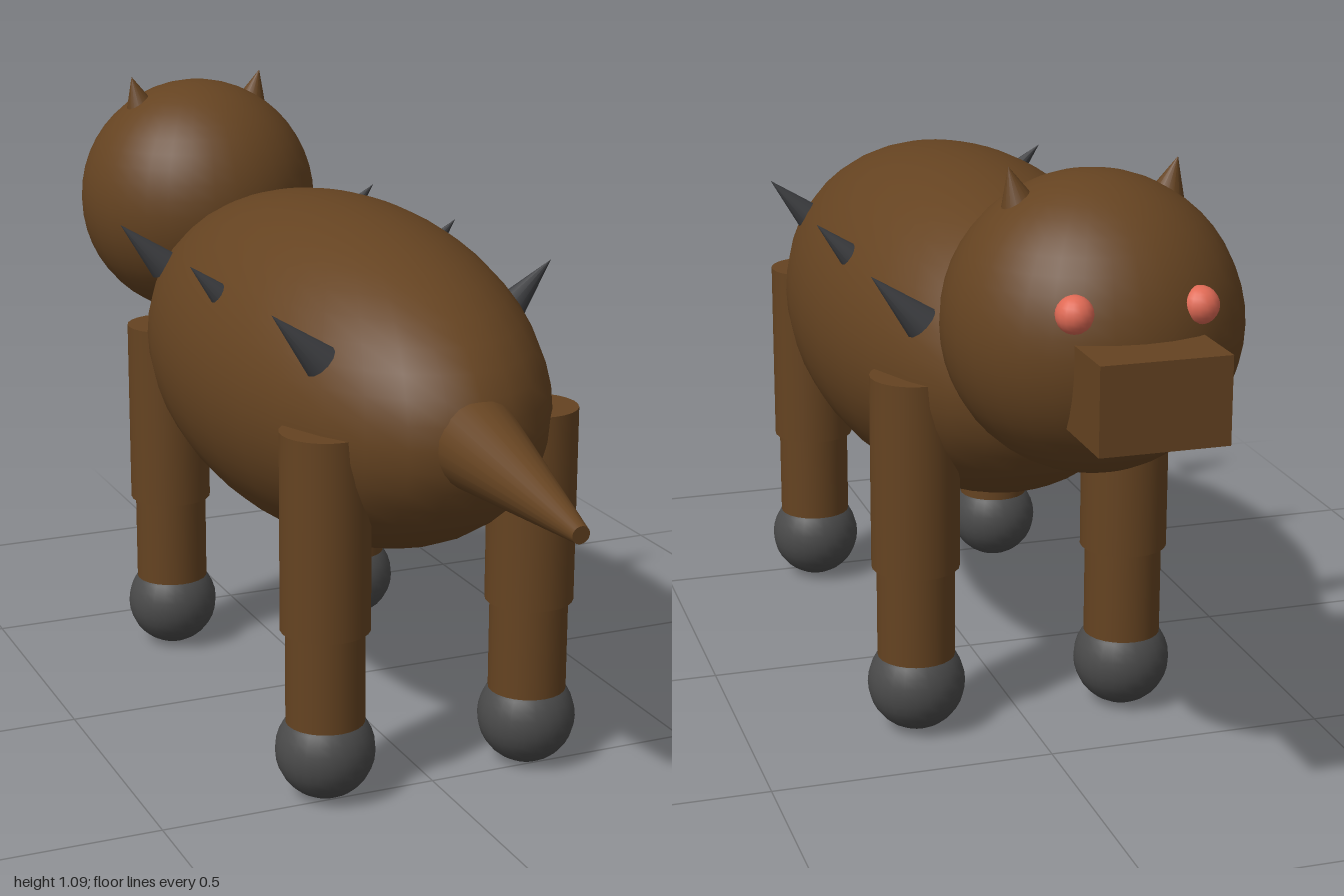
import * as THREE from 'three';

const mat = (name, color) => {
  const m = new THREE.MeshStandardMaterial({ color });
  m.name = name;
  return m;
};

export function createModel() {
  const hide = mat('brown hide', 0x654321);
  const hoofGrey = mat('hoof grey', 0x4a4a4a);
  const spikeGrey = mat('spike grey', 0x3c3d40);
  const eyeRed = mat('eye red', 0xe06a55);

  const model = new THREE.Group();
  model.name = 'spikedBeast';

  const add = (name, geometry, material, x, y, z) => {
    const mesh = new THREE.Mesh(geometry, material);
    mesh.name = name;
    mesh.position.set(x, y, z);
    model.add(mesh);
    return mesh;
  };

  // Long egg-shaped body
  add('body', new THREE.SphereGeometry(0.304, 32, 24), hide, 0, 0.66, 0.075).scale.z = 2;

  // Head and square snout, pointing to -z
  add('head', new THREE.SphereGeometry(0.242, 32, 24), hide, 0, 0.835, -0.67);
  add('snout', new THREE.BoxGeometry(0.208, 0.14, 0.22), hide, 0, 0.791, -0.89);

  // Tapered tail, dropping slightly towards its tip
  const tailStart = new THREE.Vector3(0, 0.664, 0.62);
  const tailEnd = new THREE.Vector3(0, 0.618, 1);
  const tailLine = tailEnd.clone().sub(tailStart);
  const tailMid = tailStart.clone().add(tailEnd).multiplyScalar(0.5);
  const tail = add('tail', new THREE.CylinderGeometry(0.015, 0.083, tailLine.length(), 24),
    hide, ...tailMid.toArray());
  tail.quaternion.setFromUnitVectors(new THREE.Vector3(0, 1, 0), tailLine.normalize());

  for (const side of [1, -1]) {
    const label = side > 0 ? 'left' : 'right';

    // Eyes and small leaning ears
    add(label + 'Eye', new THREE.SphereGeometry(0.03, 16, 12), eyeRed, side * 0.1, 0.905, -0.874);
    add(label + 'Ear', new THREE.ConeGeometry(0.032, 0.07, 16), hide, side * 0.13, 1.057, -0.67)
      .rotation.z = -side * 0.28;

    // Legs: thick upper part, thinner lower part, round hoof
    for (const [pair, z] of [['Tail', 0.476], ['Head', -0.315]]) {
      const x = side * 0.194;
      const leg = label + pair + 'End';
      add(leg + 'UpperLeg', new THREE.CylinderGeometry(0.078, 0.078, 0.35, 24), hide, x, 0.485, z);
      add(leg + 'LowerLeg', new THREE.CylinderGeometry(0.069, 0.069, 0.23, 24), hide, x, 0.225, z);
      add(leg + 'Hoof', new THREE.SphereGeometry(0.087, 24, 16), hoofGrey, x, 0.09, z);
    }
  }

  // Spikes alternating between the two sides of the back
  for (let i = 0; i < 6; i++) {
    const side = i % 2 ? -1 : 1;
    add('spike' + (i + 1), new THREE.ConeGeometry(0.031, 0.121, 12), spikeGrey,
      side * 0.261, 0.832, -0.451 + 0.193 * i).rotation.z = -side * Math.PI / 4;
  }

  return model;
}
